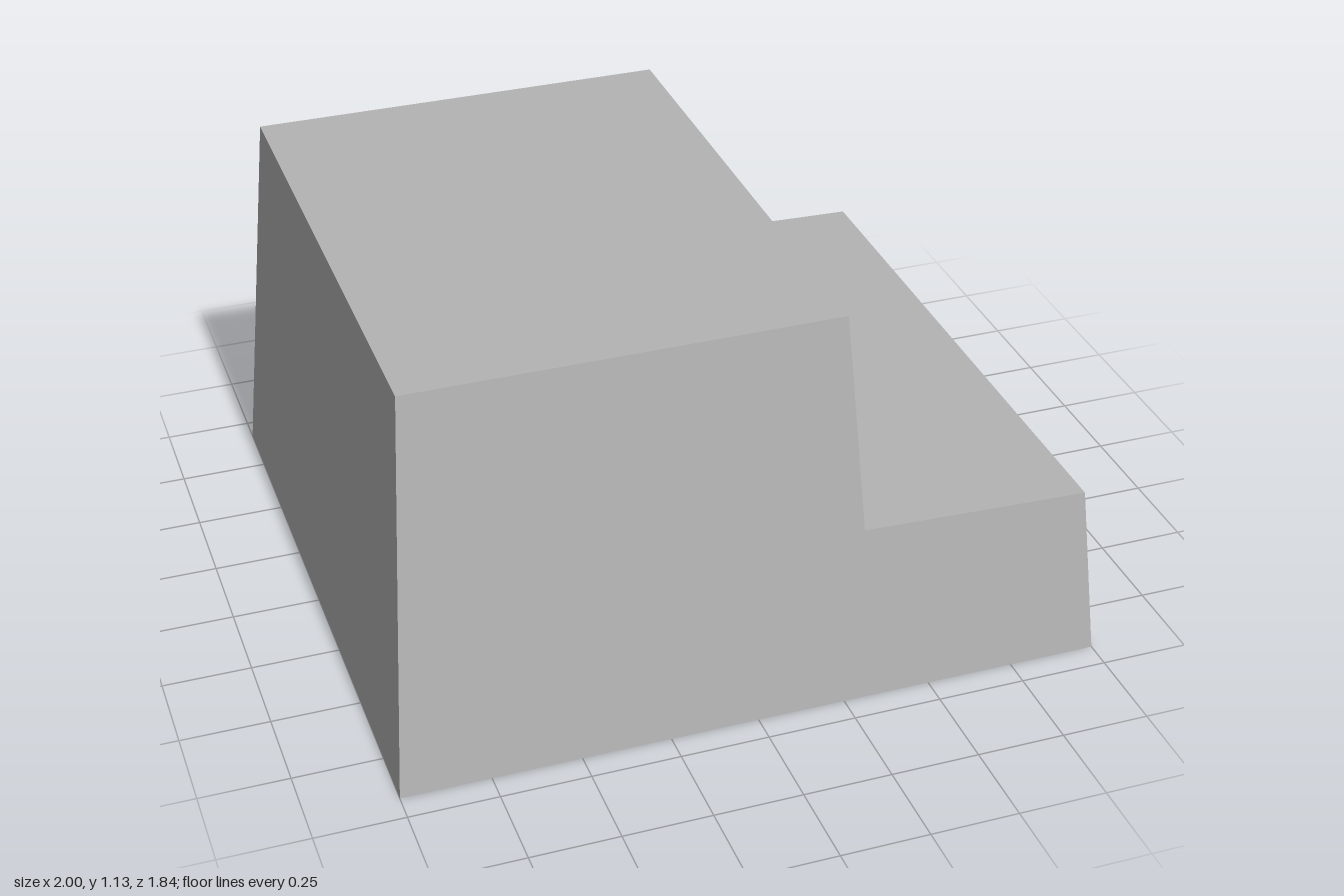
import * as THREE from 'three';

// Stepped outline in x and y, running from the left foot over the top to the right foot
const OUTLINE = [
  [-1, 0], [-0.92, 1.135], [0.275, 1.135], [0.315, 0.51], [0.965, 0.49], [1, 0],
];
const NAMES = ['tallEndWall', 'upperTop', 'riser', 'stepTop', 'lowEndWall'];

// The long walls lean inwards as they rise
const halfDepth = (y) => 0.922 - 0.14 * (y / 1.135);

// Flat four-sided panel spanning the depth between two outline points
function crossPanel([x0, y0], [x1, y1]) {
  const a = [x0, y0, halfDepth(y0)], b = [x1, y1, halfDepth(y1)];
  const c = [x1, y1, -halfDepth(y1)], d = [x0, y0, -halfDepth(y0)];
  const geo = new THREE.BufferGeometry();
  geo.setAttribute('position', new THREE.Float32BufferAttribute([a, b, c, a, c, d].flat(), 3));
  // Corner order a, b, c faces outwards
  geo.computeVertexNormals();
  return geo;
}

// Stepped wall, tilted by moving each corner to the depth at its height
function longWall(side) {
  const shape = new THREE.Shape(OUTLINE.map(([x, y]) => new THREE.Vector2(x, y)));
  const geo = new THREE.ShapeGeometry(shape);
  const pos = geo.attributes.position;
  for (let i = 0; i < pos.count; i++) pos.setZ(i, side * halfDepth(pos.getY(i)));
  if (side < 0) geo.index.array.reverse();
  geo.computeVertexNormals();
  return geo;
}

export function createModel() {
  const model = new THREE.Group();
  model.name = 'steppedBlock';
  const grey = new THREE.MeshStandardMaterial({ color: 0xb4b4b4, side: THREE.DoubleSide });
  grey.name = 'grey';

  const add = (name, geometry) => {
    const mesh = new THREE.Mesh(geometry, grey);
    mesh.name = name;
    model.add(mesh);
  };

  // Open-bottomed shell: end walls, tops and riser, then the two long walls
  NAMES.forEach((name, i) => add(name, crossPanel(OUTLINE[i], OUTLINE[i + 1])));
  add('frontWall', longWall(1));
  add('backWall', longWall(-1));
  return model;
}
